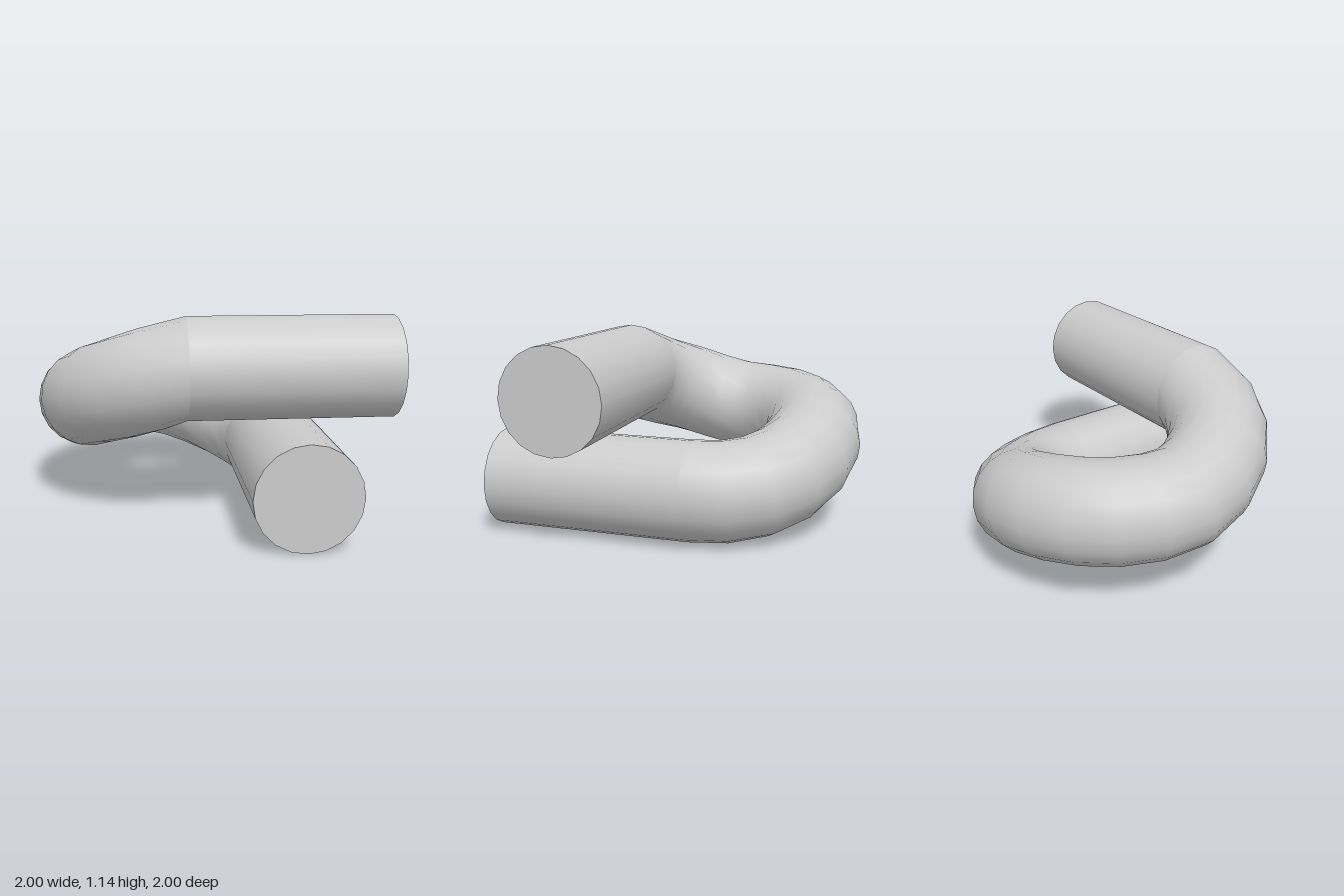
import * as THREE from 'three';

const SIDES = 20;
const PIPE = 0.286; // pipe radius
const LOOP = 0.571; // radius of the bend, seen from above
const CENTRE = -0.145; // x and z of the bend's axis
const LOW = 0.286; // height of the lower pipe's axis
const STEP = Math.PI / 10;

// Climb of the axis at each ring of the three-quarter turn
const RISE = [0, 0.004, 0.025, 0.07, 0.13, 0.19, 0.235, 0.26, 0.275, 0.283,
  0.295, 0.34, 0.4, 0.455, 0.515, 0.571];

// Climbing bend: rings swept around the axis, square to its slope
function bendGeometry() {
  const positions = [];
  const index = [];
  const last = RISE.length - 1;
  for (let i = 0; i <= last; i++) {
    const a = i * STEP;
    const atEnd = i === 0 || i === last;
    const slope = atEnd ? 0 : (RISE[i + 1] - RISE[i - 1]) / (2 * STEP * LOOP);
    const outward = new THREE.Vector3(Math.cos(a), 0, -Math.sin(a));
    const along = new THREE.Vector3(-Math.sin(a), slope, -Math.cos(a)).normalize();
    const up = outward.clone().cross(along);
    const middle = new THREE.Vector3(CENTRE, LOW + RISE[i], CENTRE).addScaledVector(outward, LOOP);
    for (let j = 0; j < SIDES; j++) {
      const b = (j / SIDES) * Math.PI * 2;
      const p = middle.clone()
        .addScaledVector(outward, PIPE * Math.cos(b))
        .addScaledVector(up, PIPE * Math.sin(b));
      positions.push(p.x, p.y, p.z);
      if (i < last) {
        const k = (j + 1) % SIDES;
        const p0 = i * SIDES + j, p1 = i * SIDES + k;
        index.push(p0, p0 + SIDES, p1, p1, p0 + SIDES, p1 + SIDES);
      }
    }
  }
  const geometry = new THREE.BufferGeometry();
  geometry.setAttribute('position', new THREE.Float32BufferAttribute(positions, 3));
  geometry.setIndex(index);
  geometry.computeVertexNormals();
  return geometry;
}

export function createModel() {
  const group = new THREE.Group();
  group.name = 'pipeLoop';
  const material = new THREE.MeshStandardMaterial({ color: 0xcccccc });
  const add = (name, geometry) => {
    const mesh = new THREE.Mesh(geometry, material);
    mesh.name = name;
    group.add(mesh);
    return mesh;
  };

  // Straight pipes run from the ends of the bend out to 1
  const length = 1 - CENTRE;
  const mid = (1 + CENTRE) / 2;
  const straight = () => new THREE.CylinderGeometry(PIPE, PIPE, length, SIDES);

  const lower = add('lowerPipe', straight());
  lower.rotation.x = Math.PI / 2;
  lower.position.set(CENTRE + LOOP, LOW, mid);

  const upper = add('upperPipe', straight());
  upper.rotation.z = -Math.PI / 2;
  upper.position.set(mid, LOW + RISE[RISE.length - 1], CENTRE + LOOP);

  add('climbingBend', bendGeometry());
  return group;
}
